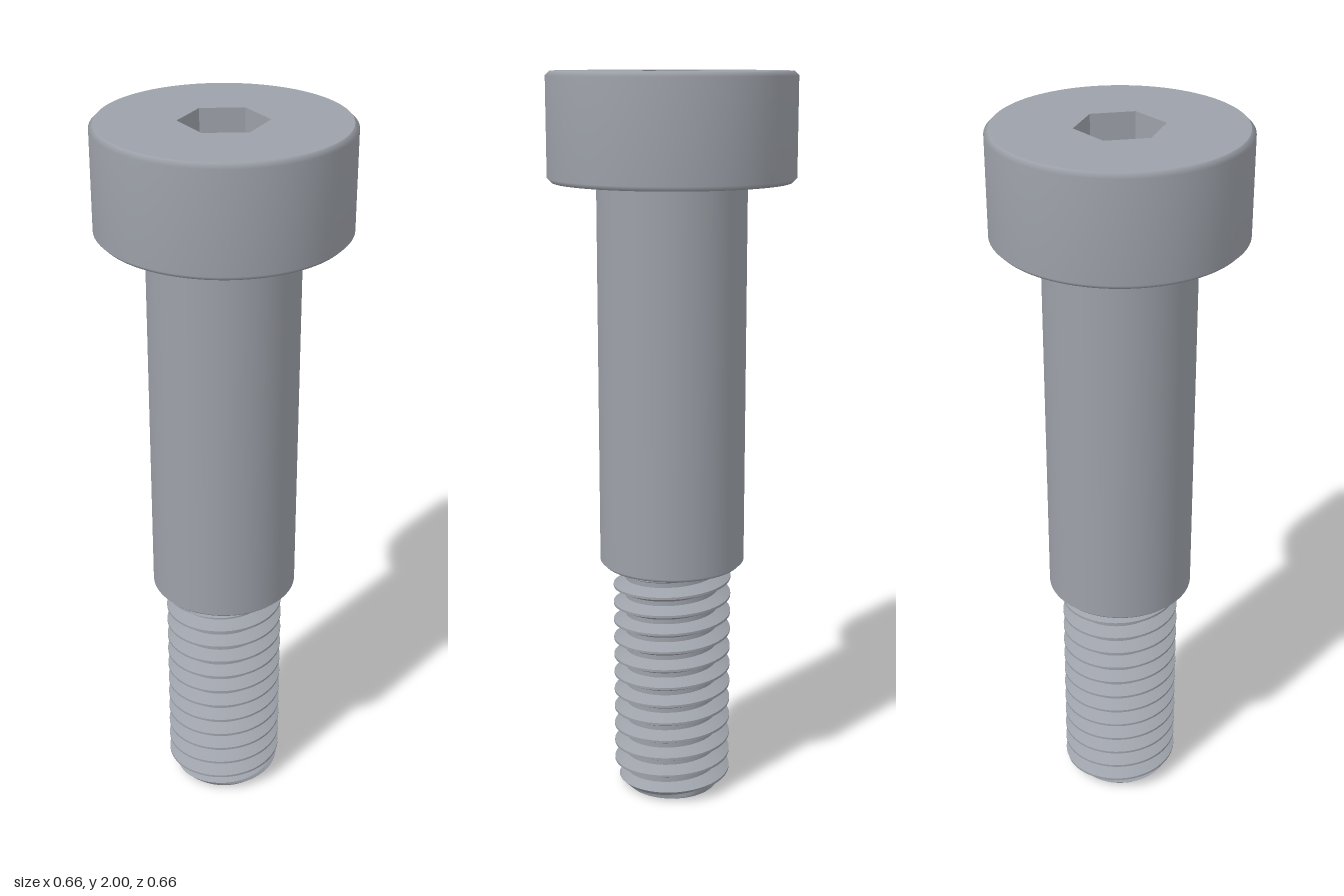
import * as THREE from 'three';
import { toCreasedNormals } from 'three/addons/utils/BufferGeometryUtils.js';

const THREAD_TOP = 0.667, HEAD_BASE = 1.716, TOP = 2;
const SHANK_R = 0.2, HEAD_R = 0.329, CREST_R = 0.164, ROOT_R = 0.13, PITCH = 0.0525;
const HEX_R = 0.115, HEX_DEPTH = 0.16, EDGE = 0.012;

// Right-hand helical thread: one profile per turn, tapered at both ends.
function threadGeometry() {
  const profile = [[0, ROOT_R], [0.25, ROOT_R], [0.4, 0.147], [0.5625, CREST_R], [0.6875, CREST_R], [0.85, 0.147]];
  const steps = 72, turns = Math.ceil(THREAD_TOP / PITCH) + 1;
  const rows = [];
  for (let k = -1; k < turns; k++) for (const [u, r] of profile) rows.push([k + u, r]);

  const point = ([u, r], i) => {
    const turn = i / steps, a = turn * Math.PI * 2;
    const y = THREE.MathUtils.clamp((u + turn) * PITCH, 0, THREAD_TOP);
    const radius = Math.min(r, 0.127 + y, 0.127 + (THREAD_TOP - y) * 1.5);
    return new THREE.Vector3(Math.cos(a) * radius, y, -Math.sin(a) * radius);
  };
  const positions = [];
  const triangle = (a, b, c) => {
    const area = b.clone().sub(a).cross(c.clone().sub(a)).length();
    if (area > 1e-9) positions.push(...a, ...b, ...c);
  };
  for (let j = 0; j + 1 < rows.length; j++) {
    for (let i = 0; i < steps; i++) {
      const a = point(rows[j], i), b = point(rows[j], i + 1);
      const c = point(rows[j + 1], i + 1), d = point(rows[j + 1], i);
      triangle(a, b, c);
      triangle(a, c, d);
    }
  }
  const g = new THREE.BufferGeometry();
  g.setAttribute('position', new THREE.Float32BufferAttribute(positions, 3));
  return toCreasedNormals(g, 0.5);
}

export function createModel() {
  const group = new THREE.Group();
  const steel = new THREE.MeshStandardMaterial({ color: 0x9da1a9 });
  steel.name = 'steel grey';
  const add = (name, geometry, y = 0) => {
    const mesh = new THREE.Mesh(geometry, steel);
    mesh.name = name;
    mesh.position.y = y;
    group.add(mesh);
  };

  // Threaded end with its flat tip
  add('thread', threadGeometry());
  add('threadTip', new THREE.CircleGeometry(0.127, 72).rotateX(Math.PI / 2));

  // Shoulder and head in one turned profile, with softened edges
  const turned = [
    [0.12, THREAD_TOP],
    [SHANK_R - 0.01, THREAD_TOP],
    [SHANK_R, THREAD_TOP + 0.01],
    [SHANK_R, HEAD_BASE - 0.01],
    [SHANK_R + 0.01, HEAD_BASE],
    [HEAD_R - EDGE, HEAD_BASE],
    [HEAD_R, HEAD_BASE + EDGE],
    [HEAD_R, TOP - EDGE],
    [HEAD_R - EDGE, TOP],
  ].map(([x, y]) => new THREE.Vector2(x, y));
  add('shoulderAndHead', new THREE.LatheGeometry(turned, 96));

  // Flat head top with a hexagonal opening
  const top = new THREE.Shape().absarc(0, 0, HEAD_R - EDGE, 0, Math.PI * 2);
  const hex = [];
  for (let i = 0; i < 6; i++) {
    const a = Math.PI / 6 + i * Math.PI / 3;
    hex.push(new THREE.Vector2(Math.cos(a) * HEX_R, Math.sin(a) * HEX_R));
  }
  top.holes.push(new THREE.Path(hex.reverse()));
  add('headTop', new THREE.ShapeGeometry(top, 96).rotateX(-Math.PI / 2), TOP);

  // Socket walls, mirrored so they face inward, and the socket floor
  const walls = new THREE.CylinderGeometry(HEX_R, HEX_R, HEX_DEPTH, 6, 1, true).scale(-1, 1, 1).toNonIndexed();
  walls.computeVertexNormals();
  add('socketWalls', walls, TOP - HEX_DEPTH / 2);
  add('socketFloor', new THREE.CircleGeometry(HEX_R, 6, Math.PI / 6).rotateX(-Math.PI / 2), TOP - HEX_DEPTH);

  return group;
}
